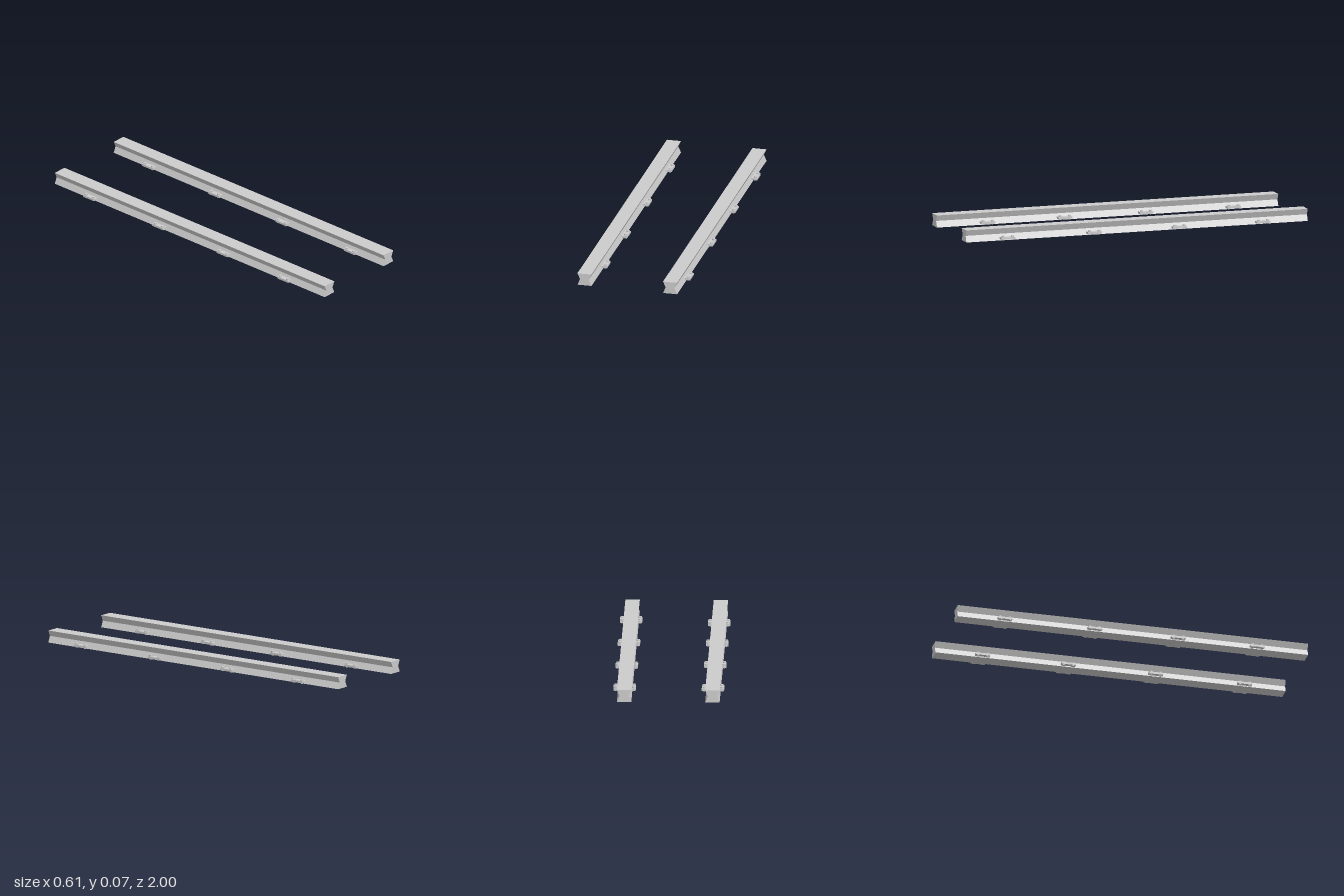
import * as THREE from 'three';

const material = new THREE.MeshStandardMaterial({ color: 0xcccccc, flatShading: true });

function part(name, geometry, x, y, z) {
  const mesh = new THREE.Mesh(geometry, material);
  mesh.name = name;
  mesh.position.set(x, y, z);
  return mesh;
}

// Waisted rail cross-section, extruded along z
function railGeometry() {
  const w = 0.04, waist = 0.025, h = 0.068, mid = 0.035;
  const shape = new THREE.Shape([
    [-w, 0], [w, 0], [waist, mid], [w, h], [-w, h], [-waist, mid],
  ].map(([x, y]) => new THREE.Vector2(x, y)));
  return new THREE.ExtrudeGeometry(shape, { depth: 2, bevelEnabled: false }).translate(0, 0, -1);
}

export function createModel() {
  const model = new THREE.Group();
  model.name = 'railPair';

  const rail = railGeometry();
  const plate = new THREE.BoxGeometry(0.124, 0.012, 0.081);
  const bolt = new THREE.CylinderGeometry(0.009, 0.009, 0.024, 8);

  // Each rail carries four slightly uneven tie plates
  const sides = [
    { name: 'rightRail', railX: -0.2465, plateX: -0.244, plateZ: [-0.733, -0.22, 0.256, 0.707] },
    { name: 'leftRail', railX: 0.2415, plateX: 0.244, plateZ: [-0.733, -0.243, 0.256, 0.763] },
  ];
  for (const { name, railX, plateX, plateZ } of sides) {
    const side = new THREE.Group();
    side.name = name;
    side.add(part('rail', rail, railX, 0, 0));
    for (const z of plateZ) {
      const clamp = new THREE.Group();
      clamp.name = 'clamp';
      clamp.position.set(plateX, 0, z);
      clamp.add(part('tiePlate', plate, 0, 0.013, 0));
      // Two bolts on either side of the rail
      for (const sx of [-1, 1]) {
        for (const sz of [-1, 1]) clamp.add(part('bolt', bolt, sx * 0.05, 0.015, sz * 0.027));
      }
      side.add(clamp);
    }
    model.add(side);
  }
  return model;
}
